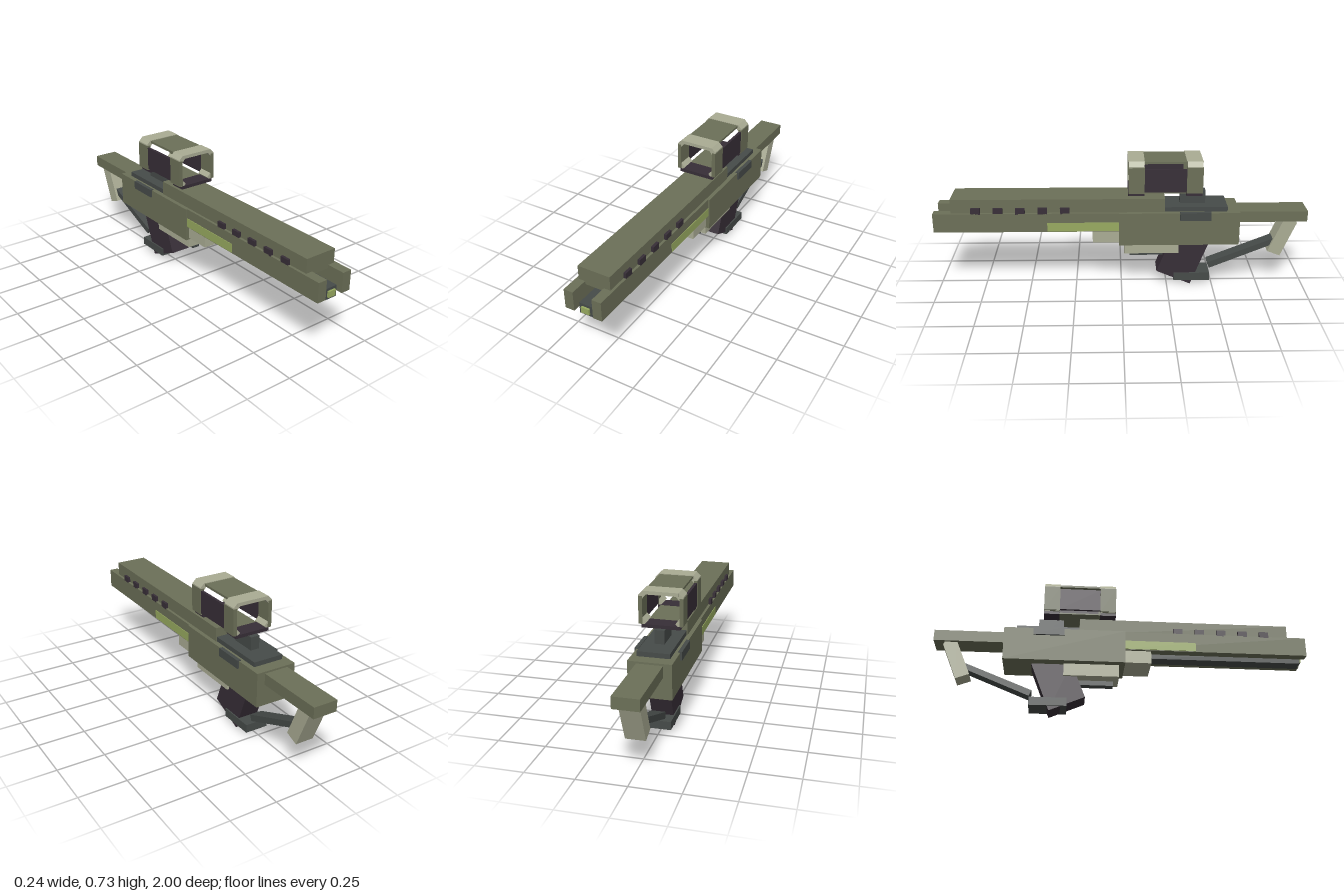
import * as THREE from 'three';

function mat(name, color) {
  const m = new THREE.MeshStandardMaterial({ color });
  m.name = name;
  return m;
}

export function createModel() {
  const olive = mat('olive', 0x6c7058);
  const pale = mat('pale khaki', 0xaaac94);
  const plum = mat('dark plum', 0x372e37);
  const slate = mat('slate grey', 0x464b49);
  const lime = mat('lime green', 0x98aa60);

  const model = new THREE.Group();
  model.name = 'rifle';

  const add = (name, geometry, material, parent = model) => {
    const mesh = new THREE.Mesh(geometry, material);
    mesh.name = name;
    parent.add(mesh);
    return mesh;
  };
  // Box given by its limits on each axis
  const box = (name, material, [x0, x1], [y0, y1], [z0, z1], parent) => {
    const g = new THREE.BoxGeometry(x1 - x0, y1 - y0, z1 - z0);
    g.translate((x0 + x1) / 2, (y0 + y1) / 2, (z0 + z1) / 2);
    return add(name, g, material, parent);
  };
  const prism = (points, depth) => {
    const shape = new THREE.Shape(points.map(([a, b]) => new THREE.Vector2(a, b)));
    return new THREE.ExtrudeGeometry(shape, { depth, bevelEnabled: false });
  };
  // Side profile of (z, y) points, given a half width in x
  const profile = (name, material, half, points) => {
    const g = prism(points, half * 2).translate(0, 0, -half);
    return add(name, g.rotateY(-Math.PI / 2), material);
  };
  // Same x range on either side
  const span = (s, a, b) => (s > 0 ? [a, b] : [-b, -a]);

  // Barrel assembly
  box('upperBarrel', olive, [-0.088, 0.088], [0.428, 0.52], [-0.23, 0.905]);
  box('innerBarrel', slate, [-0.036, 0.036], [0.322, 0.38], [0.1, 0.98]);
  box('muzzleTip', lime, [-0.022, 0.022], [0.335, 0.367], [0.97, 0.99]);
  box('handguard', pale, [-0.09, 0.09], [0.27, 0.43], [0, 0.155]);
  for (const s of [1, -1]) {
    box('sideRail', olive, span(s, 0.052, 0.102), [0.34, 0.445], [0, 1]);
    box('greenPanel', lime, span(s, 0.1, 0.105), [0.344, 0.392], [0.01, 0.395]);
    for (let i = 0; i < 5; i++) {
      const z = 0.773 - i * 0.118;
      box('vent', plum, span(s, 0.08, 0.102), [0.44, 0.474], [z - 0.025, z + 0.025]);
    }
  }

  // Receiver and sight mount
  box('receiver', olive, [-0.11, 0.11], [0.262, 0.445], [-0.63, 0.015]);
  box('mountPlate', slate, [-0.083, 0.083], [0.44, 0.47], [-0.565, -0.23]);
  box('mountPost', slate, [-0.025, 0.025], [0.465, 0.541], [-0.45, -0.315]);
  for (const s of [1, -1])
    box('mountClamp', slate, span(s, 0.1, 0.12), [0.405, 0.45], [-0.475, -0.31]);

  // Open box sight: two rings joined by panels
  const sight = new THREE.Group();
  sight.name = 'sight';
  model.add(sight);
  const upperCorner = [[0.09, 0.728], [0.075, 0.71], [0.093, 0.688], [0.112, 0.7], [0.112, 0.706]];
  const lowerCorner = [[0.094, 0.591], [0.072, 0.568], [0.084, 0.556], [0.105, 0.556]];
  for (const [z0, z1] of [[-0.12, -0.035], [-0.425, -0.34]]) {
    box('ringTop', pale, [-0.09, 0.09], [0.71, 0.728], [z0, z1], sight);
    box('ringBase', plum, [-0.098, 0.098], [0.54, 0.558], [z0, z1], sight);
    for (const s of [1, -1]) {
      box('ringSide', olive, span(s, 0.093, 0.113), [0.558, 0.7], [z0, z1], sight);
      for (const pts of [upperCorner, lowerCorner]) {
        const g = prism(pts.map(([x, y]) => [s * x, y]), z1 - z0 - 0.004);
        add('ringCorner', g.translate(0, 0, z0 + 0.002), pale, sight);
      }
    }
  }
  const mid = [-0.34, -0.12];
  box('sightTopPanel', olive, [-0.088, 0.088], [0.713, 0.725], mid, sight);
  box('sightBottomPanel', olive, [-0.085, 0.085], [0.549, 0.556], mid, sight);
  for (const s of [1, -1])
    box('sightSidePanel', plum, span(s, 0.096, 0.11), [0.565, 0.69], mid, sight);

  // Magazine housing, trigger and grip
  box('magazineHousing', pale, [-0.07, 0.07], [0.195, 0.265], [-0.31, -0.015]);
  box('triggerBar', slate, [-0.021, 0.021], [0.162, 0.188], [-0.24, -0.045]);
  profile('grip', plum, 0.057, [[-0.193, 0.08], [-0.38, 0], [-0.484, 0.27], [-0.268, 0.27]]);
  box('gripFoot', slate, [-0.064, 0.064], [0.025, 0.07], [-0.485, -0.288]);

  // Stock, shoulder pad and brace
  box('stock', olive, [-0.066, 0.066], [0.375, 0.435], [-1, -0.62]);
  profile('shoulderPad', pale, 0.05, [[-0.8, 0.193], [-0.87, 0.166], [-0.95, 0.36], [-0.94, 0.38], [-0.878, 0.38]]);
  profile('brace', slate, 0.035, [[-0.473, 0.118], [-0.486, 0.086], [-0.835, 0.23], [-0.835, 0.264]]);

  return model;
}
